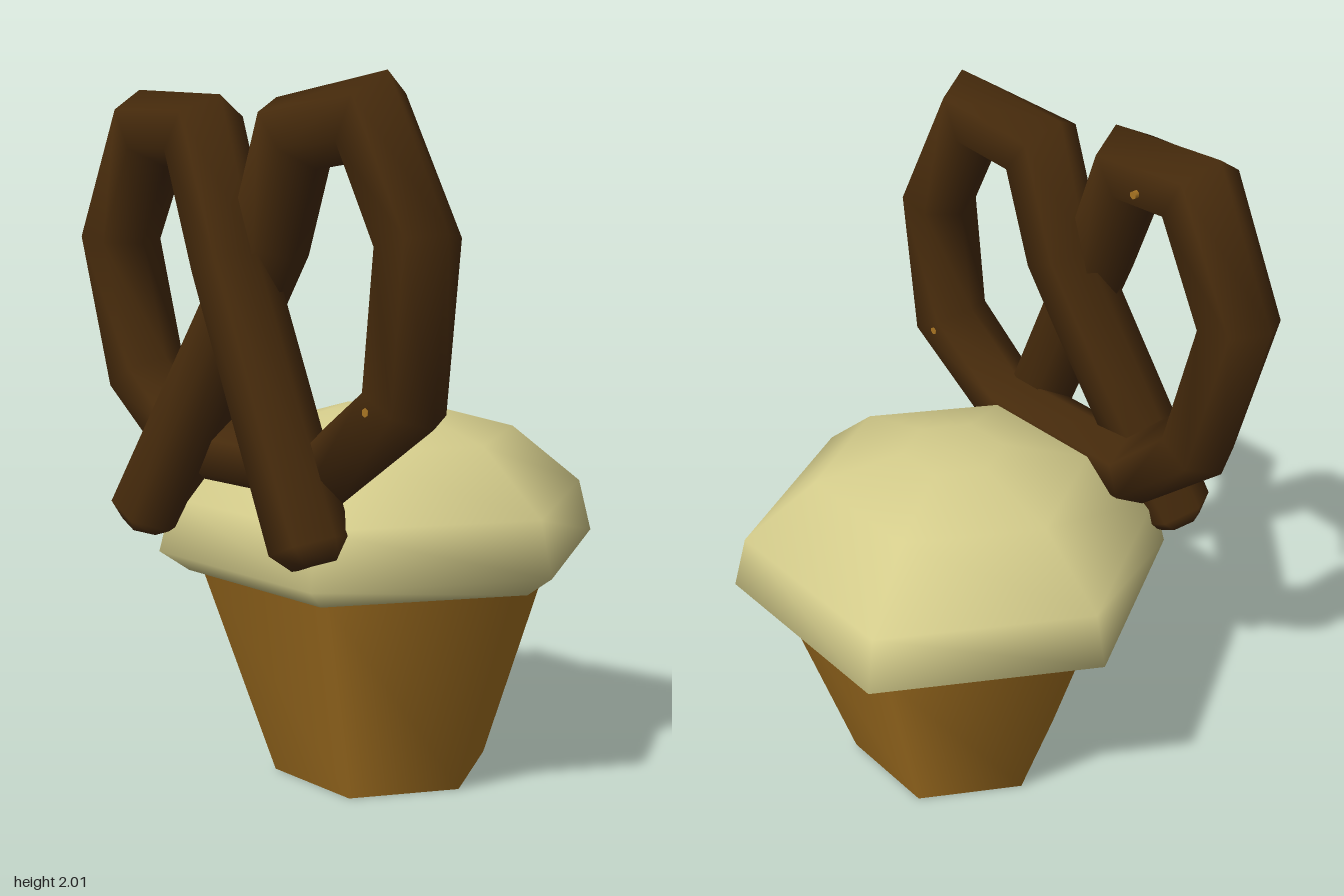
import * as THREE from 'three';

const wafer = new THREE.MeshStandardMaterial({ name: 'wafer brown', color: 0xa87422 });
const cream = new THREE.MeshStandardMaterial({ name: 'cream frosting', color: 0xd5cd8c });
const chocolate = new THREE.MeshStandardMaterial({ name: 'dark chocolate', color: 0x472b0c });

const CENTRE = [0.03, -0.06];

// Six-sided turned shape with corners on the x axis
function hexLathe(points, material, name) {
  const geo = new THREE.LatheGeometry(points.map(([r, y]) => new THREE.Vector2(r, y)), 6);
  geo.rotateY(Math.PI / 6);
  geo.translate(CENTRE[0], 0, CENTRE[1]);
  const mesh = new THREE.Mesh(geo, material);
  mesh.name = name;
  return mesh;
}

// Flat hexagon facing down
function hexDisc(radius, y, material, name) {
  const geo = new THREE.CircleGeometry(radius, 6);
  geo.rotateX(Math.PI / 2);
  geo.translate(CENTRE[0], y, CENTRE[1]);
  const mesh = new THREE.Mesh(geo, material);
  mesh.name = name;
  return mesh;
}

// Hexagonal rope with mitred bends; each path point is [x, y, z, radius]
function ropeGeometry(path) {
  const SIDES = 6;
  const pts = path.map((p) => new THREE.Vector3(p[0], p[1], p[2]));
  const zAxis = new THREE.Vector3(0, 0, 1);
  const last = pts.length - 1;
  const pos = [];
  const index = [];
  pts.forEach((p, i) => {
    const before = p.clone().sub(pts[Math.max(i - 1, 0)]).normalize();
    const after = pts[Math.min(i + 1, last)].clone().sub(p).normalize();
    const tangent = before.clone().add(after).normalize();
    const miter = i > 0 && i < last ? 1 / tangent.dot(after) : 1;
    const side = zAxis.clone().cross(tangent).normalize();
    const up = tangent.clone().cross(side);
    for (let k = 0; k < SIDES; k++) {
      const a = (k / SIDES) * Math.PI * 2;
      const v = p.clone()
        .addScaledVector(side, Math.cos(a) * path[i][3] * miter)
        .addScaledVector(up, Math.sin(a) * path[i][3] * 1.12);
      pos.push(v.x, v.y, v.z);
    }
  });
  for (let i = 0; i < last; i++) {
    for (let k = 0; k < SIDES; k++) {
      const a = i * SIDES + k;
      const b = i * SIDES + ((k + 1) % SIDES);
      index.push(a, b, a + SIDES, b, b + SIDES, a + SIDES);
    }
  }
  // End caps
  const end = last * SIDES;
  for (let k = 1; k < SIDES - 1; k++) {
    index.push(0, k + 1, k, end, end + k, end + k + 1);
  }
  const geo = new THREE.BufferGeometry();
  geo.setAttribute('position', new THREE.Float32BufferAttribute(pos, 3));
  geo.setIndex(index);
  geo.computeVertexNormals();
  return geo;
}

export function createModel() {
  const model = new THREE.Group();
  model.name = 'frostedCupcakeWithPretzel';

  // Tapered cup
  model.add(hexLathe([[0.325, 0], [0.538, 0.635]], wafer, 'cup'));
  model.add(hexDisc(0.325, 0, wafer, 'cupBase'));

  // Domed frosting with a flat underside
  model.add(hexLathe([
    [0.575, 0.625], [0.66, 0.685], [0.62, 0.84], [0.405, 1.015], [0.15, 1.085], [0, 1.085],
  ], cream, 'frosting'));
  model.add(hexDisc(0.575, 0.625, cream, 'frostingUnderside'));

  // Pretzel: one rope from foot to foot, crossing in the middle
  const R = 0.105;
  const pretzel = new THREE.Mesh(ropeGeometry([
    [-0.34, 0.765, 0.535, 0.06],
    [-0.32, 0.805, 0.53, R],
    [-0.02, 1.40, 0.42, R],
    [0.055, 1.57, 0.385, R],
    [0.155, 1.865, 0.375, R],
    [0.415, 1.90, 0.35, R],
    [0.57, 1.59, 0.335, R],
    [0.555, 1.185, 0.365, R],
    [0.28, 0.98, 0.38, 0.098],
    [-0.28, 0.98, 0.385, 0.098],
    [-0.505, 1.175, 0.395, R],
    [-0.595, 1.575, 0.415, R],
    [-0.415, 1.89, 0.425, R],
    [-0.13, 1.87, 0.46, R],
    [0.01, 1.52, 0.475, R],
    [0.325, 0.80, 0.48, R],
    [0.345, 0.75, 0.48, 0.06],
  ]), chocolate);
  pretzel.name = 'pretzel';
  model.add(pretzel);

  // Tiny crumbs showing through the rope
  for (const [x, y, z] of [[0.52, 1.17, 0.366], [-0.26, 1.86, 0.435]]) {
    const geo = new THREE.CylinderGeometry(0.012, 0.012, 0.207, 6);
    geo.rotateX(Math.PI / 2);
    const crumb = new THREE.Mesh(geo, wafer);
    crumb.name = 'crumb';
    crumb.position.set(x, y, z);
    model.add(crumb);
  }

  return model;
}
